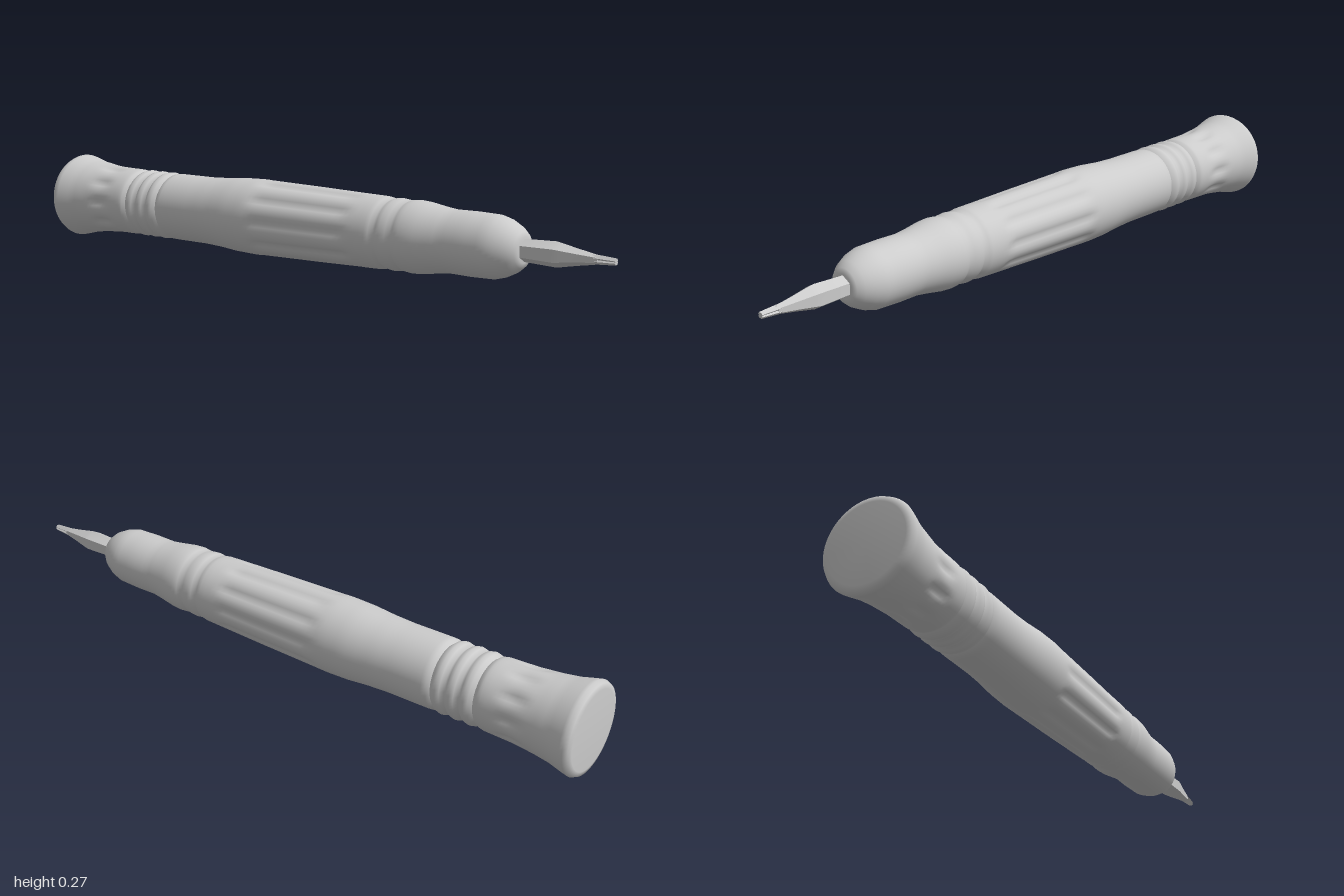
import * as THREE from 'three';
import { mergeVertices, toCreasedNormals } from 'three/addons/utils/BufferGeometryUtils.js';

const AXIS_Y = 0.136;
const material = new THREE.MeshStandardMaterial({ color: 0xcccccc });

// Subdivide a [z, radius] profile so that flutes can be pressed into it
function refine(profile, step) {
  const out = [];
  profile.forEach(([z, r], i) => {
    if (i > 0) {
      const [z0, r0] = profile[i - 1];
      const n = Math.max(1, Math.ceil((z - z0) / step));
      for (let k = 1; k < n; k++) {
        out.push(new THREE.Vector2(r0 + (r - r0) * k / n, z0 + (z - z0) * k / n));
      }
    }
    out.push(new THREE.Vector2(r, z));
  });
  return out;
}

// Turned solid running along z
function turned(profile, sides, step = 1) {
  return new THREE.LatheGeometry(refine(profile, step), sides).rotateX(Math.PI / 2);
}

// Press n lengthwise flutes into the surface between z0 and z1
function flute(geometry, n, z0, z1, depth, phase) {
  const p = geometry.attributes.position;
  for (let i = 0; i < p.count; i++) {
    const x = p.getX(i), y = p.getY(i), z = p.getZ(i);
    if (z < z0 || z > z1) continue;
    const end = Math.min(1, Math.min(z - z0, z1 - z) / 0.04);
    const across = Math.max(0, Math.cos(n * (Math.atan2(y, x) + phase)));
    const s = 1 - depth * end * across / Math.hypot(x, y);
    p.setXY(i, x * s, y * s);
  }
}

// Weld the seam and smooth the shading
function smooth(geometry) {
  geometry.deleteAttribute('uv');
  geometry.deleteAttribute('normal');
  const welded = mergeVertices(geometry, 1e-5);
  welded.computeVertexNormals();
  return welded;
}

function part(name, geometry) {
  const mesh = new THREE.Mesh(geometry, material);
  mesh.name = name;
  mesh.position.y = AXIS_Y;
  return mesh;
}

export function createModel() {
  const group = new THREE.Group();
  group.name = 'precisionScrewdriver';

  // Flared end cap with short notches
  const cap = turned([
    [-1, 0], [-0.999, 0.115], [-0.995, 0.13], [-0.982, 0.136], [-0.96, 0.131],
    [-0.92, 0.121], [-0.87, 0.114], [-0.8, 0.108], [-0.715, 0.106], [-0.7, 0.103], [-0.69, 0.095],
  ], 60, 0.015);
  flute(cap, 10, -0.86, -0.75, 0.008, 0);
  group.add(part('endCap', smooth(cap)));

  // Three grip rings behind the handle
  const rings = [[-0.69, 0.095]];
  for (const z of [-0.667, -0.622, -0.577]) {
    rings.push([z - 0.012, 0.104], [z, 0.107], [z + 0.012, 0.104], [z + 0.0225, 0.095]);
  }
  group.add(part('gripRings', smooth(turned(rings, 60))));

  // Swelling handle with long flutes, two grooves and a rounded nose
  const handle = turned([
    [-0.555, 0.095], [-0.545, 0.104], [-0.53, 0.105], [-0.4, 0.105], [-0.33, 0.108],
    [-0.26, 0.114], [-0.19, 0.116], [-0.1, 0.114], [0.05, 0.111], [0.2, 0.107],
    [0.275, 0.105], [0.288, 0.103], [0.3, 0.097], [0.312, 0.102], [0.325, 0.104],
    [0.345, 0.102], [0.358, 0.097], [0.37, 0.102], [0.39, 0.104], [0.42, 0.102],
    [0.47, 0.094], [0.51, 0.089], [0.58, 0.09], [0.65, 0.088], [0.68, 0.08],
    [0.71, 0.065], [0.728, 0.05], [0.733, 0.035], [0.734, 0],
  ], 60, 0.02);
  flute(handle, 10, -0.17, 0.22, 0.008, 0);
  group.add(part('handle', smooth(handle)));

  // Six-sided shank tapering to the bit
  const shank = turned([
    [0.72, 0.031], [0.75, 0.032], [0.83, 0.035], [0.85, 0.031], [0.89, 0.023],
    [0.93, 0.016], [0.95, 0.012], [0.955, 0],
  ], 6);
  group.add(part('shank', toCreasedNormals(shank, 0.7)));

  // Crossed, tapering blades at the tip
  for (const turn of [0, Math.PI / 2]) {
    const blade = new THREE.BoxGeometry(0.028, 0.012, 0.09);
    const p = blade.attributes.position;
    for (let i = 0; i < p.count; i++) {
      if (p.getZ(i) > 0) p.setXY(i, p.getX(i) * 0.6, p.getY(i) * 0.7);
    }
    blade.computeVertexNormals();
    blade.rotateZ(turn + Math.PI / 4).translate(0, 0, 0.955);
    group.add(part('bitBlade', blade));
  }
  return group;
}
